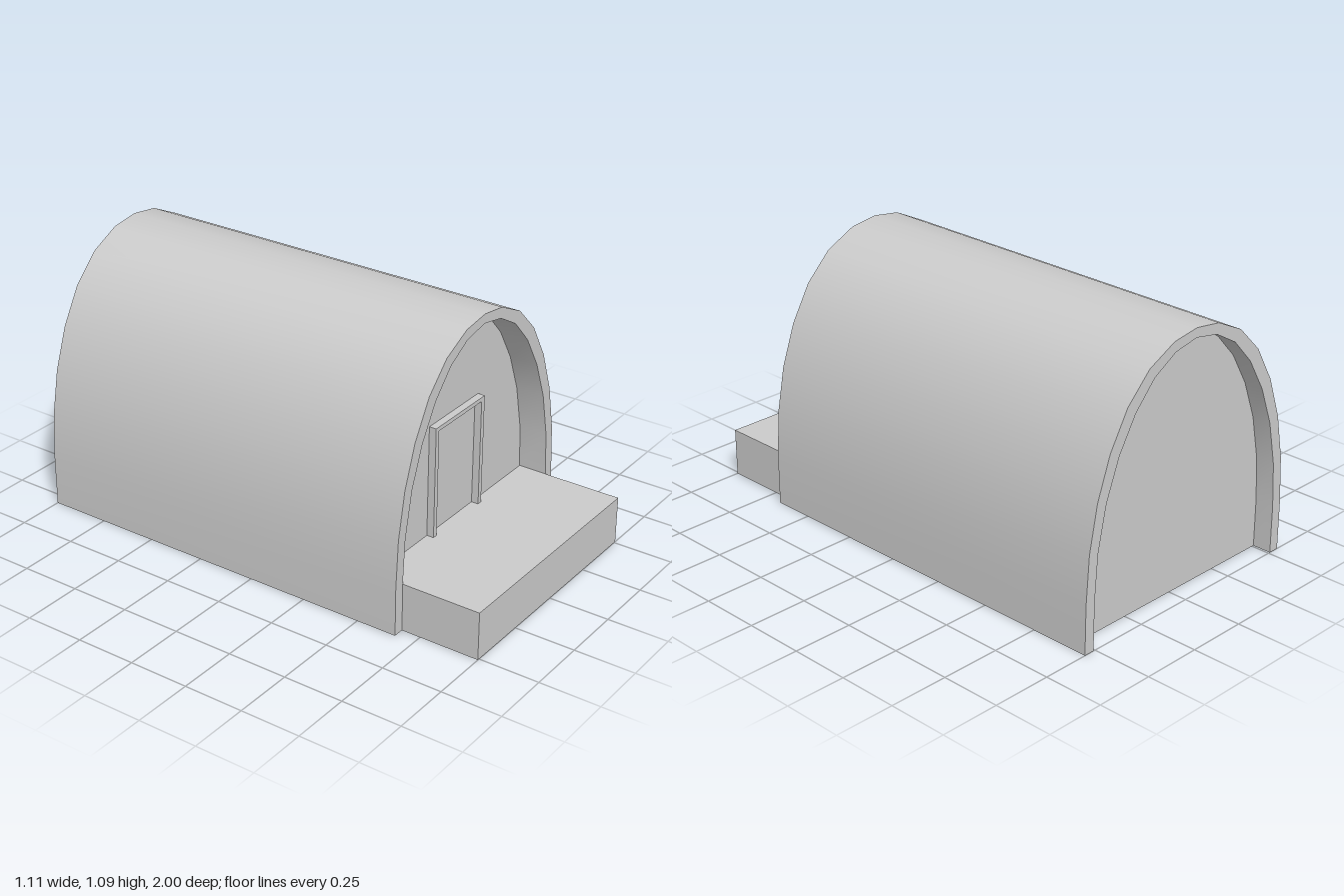
import * as THREE from 'three';

const material = new THREE.MeshStandardMaterial({ color: 0xcccccc, side: THREE.DoubleSide });

// Mirror a right-hand half profile (crown to foot) into a full left-to-right one
const mirrored = (half) => [
  ...half.slice().reverse().map(([x, y]) => [-x, y]),
  ...half.slice(1),
];

// Surface between profile a at depth za and profile b at depth zb
function strip(name, a, za, b, zb, smooth = false) {
  const pos = [], index = [];
  a.forEach(([x, y], i) => {
    pos.push(x, y, za, b[i][0], b[i][1], zb);
    if (i) {
      const k = 2 * i;
      index.push(k - 2, k, k - 1, k - 1, k, k + 1);
    }
  });
  let geo = new THREE.BufferGeometry();
  geo.setAttribute('position', new THREE.Float32BufferAttribute(pos, 3));
  geo.setIndex(index);
  if (!smooth) geo = geo.toNonIndexed();
  geo.computeVertexNormals();
  return named(name, geo);
}

// Flat panel bounded by an outline, standing at depth z
function panel(name, outline, z, facing = 1) {
  const shape = new THREE.Shape(outline.map(([x, y]) => new THREE.Vector2(x * facing, y)));
  const geo = new THREE.ShapeGeometry(shape);
  if (facing < 0) geo.rotateY(Math.PI);
  geo.translate(0, 0, z);
  return named(name, geo);
}

function named(name, geo) {
  const mesh = new THREE.Mesh(geo, material);
  mesh.name = name;
  return mesh;
}

function group(name, ...parts) {
  const g = new THREE.Group();
  g.name = name;
  g.add(...parts);
  return g;
}

export function createModel() {
  const FRONT = 0.67, BACK = -1, FRONT_WALL = 0.55, BACK_WALL = -0.92, DECK = 0.2;

  const outer = mirrored([[0, 1.092], [0.121, 1.075], [0.25, 1.012], [0.36, 0.902],
    [0.445, 0.755], [0.505, 0.586], [0.541, 0.398], [0.553, 0.2], [0.553, 0]]);
  const inner = mirrored([[0, 1.054], [0.112, 1.033], [0.221, 0.97], [0.316, 0.867],
    [0.397, 0.73], [0.458, 0.57], [0.496, 0.385], [0.508, DECK], [0.508, 0]]);
  const upper = inner.slice(1, -1); // the part of the inner arch above the deck

  // Arched shell with recessed ends
  const shell = group('shell',
    strip('roof', outer, FRONT, outer, BACK, true),
    strip('frontRim', inner, FRONT, outer, FRONT),
    strip('backRim', outer, BACK, inner, BACK),
    strip('frontReveal', upper, FRONT_WALL, upper, FRONT, true),
    strip('backReveal', inner, BACK, inner, BACK_WALL, true));

  // Doorway outlines, foot to foot
  const doorway = (w, h) => [[-w, DECK], [-w, h], [w, h], [w, DECK]];
  const frameOuter = doorway(0.168, 0.665);
  const frameInner = doorway(0.147, 0.648);
  const frameZ = FRONT_WALL + 0.03;

  // End walls; the front one leaves a gap for the door frame
  const frontWall = panel('frontWall', [...upper, ...frameOuter.slice().reverse()], FRONT_WALL);
  const backWall = panel('backWall', inner, BACK_WALL, -1);

  // Door and its raised frame
  const door = group('door',
    panel('doorPanel', frameInner, FRONT_WALL),
    strip('frameOuterSides', frameOuter, frameZ, frameOuter, FRONT_WALL),
    strip('frameFace', frameInner, frameZ, frameOuter, frameZ),
    strip('frameInnerSides', frameInner, FRONT_WALL, frameInner, frameZ));

  // Porch platform, open underneath and running in to the front wall
  const porch = [[-0.508, 0], [-0.508, DECK], [0.508, DECK], [0.508, 0]];
  const deckEdge = porch.slice(1, 3);
  const platform = group('platform',
    strip('platformTopAndSides', porch, 1, porch, FRONT),
    strip('platformInnerTop', deckEdge, FRONT, deckEdge, FRONT_WALL),
    panel('platformFront', porch, 1));

  return group('archedHut', shell, frontWall, backWall, door, platform);
}
